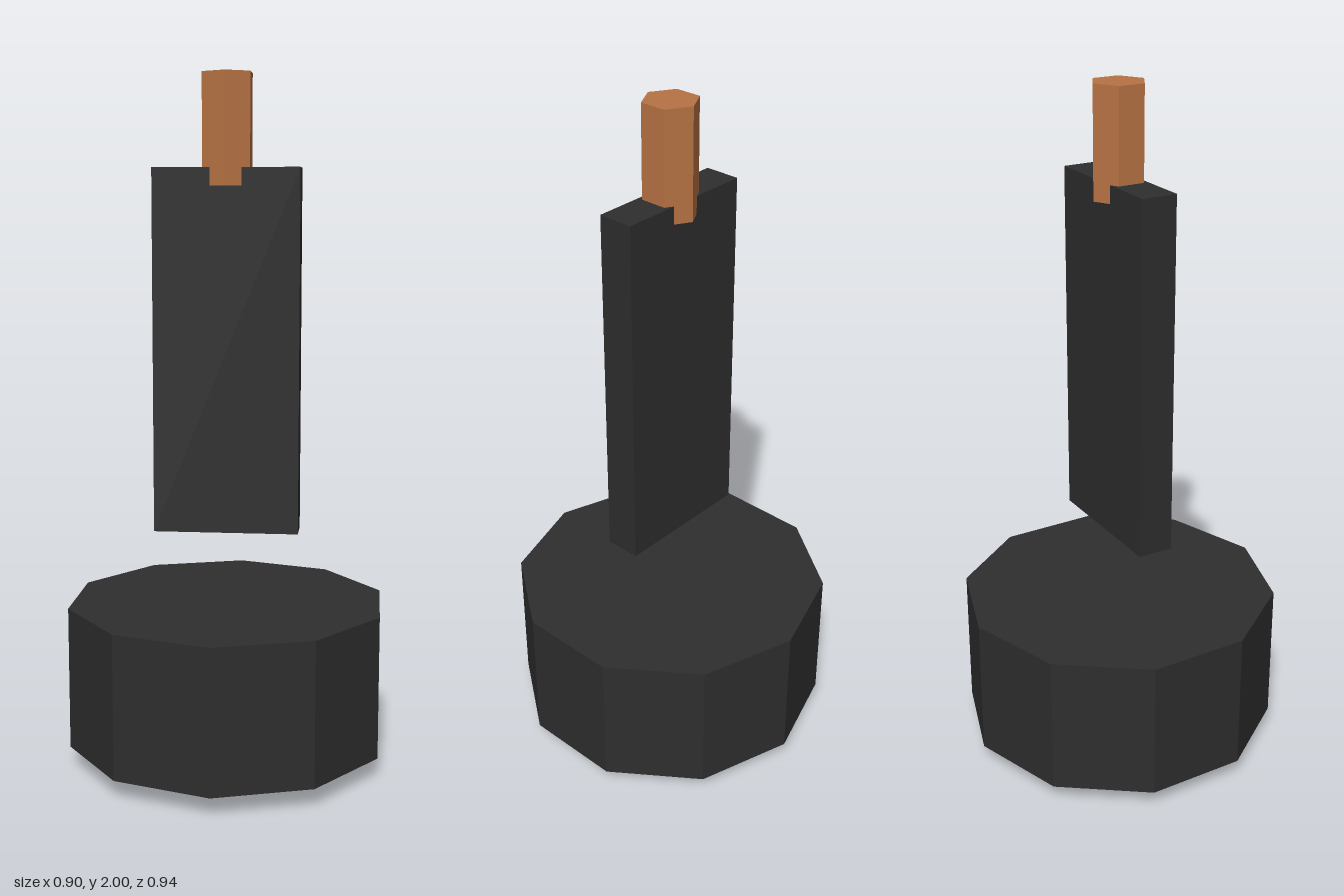
import * as THREE from 'three';

export function createModel() {
  const model = new THREE.Group();
  model.name = 'model';

  const makeMaterial = (name, color) => {
    const m = new THREE.MeshStandardMaterial({ color, flatShading: true });
    m.name = name;
    return m;
  };
  const black = makeMaterial('black', 0x2e2e2e);
  const copper = makeMaterial('copper', 0xb87344);
  const silver = makeMaterial('silver', 0xb0b4bc);

  // Adds a part that spans the heights y0 to y1
  const add = (name, geometry, material, x, y0, y1, z) => {
    const mesh = new THREE.Mesh(geometry, material);
    mesh.name = name;
    mesh.position.set(x, (y0 + y1) / 2, z);
    model.add(mesh);
  };
  const prism = (radius, y0, y1, sides) =>
    new THREE.CylinderGeometry(radius, radius, y1 - y0, sides);

  // Ten-sided base
  add('base', prism(0.472, 0.057, 0.476, 10), black, 0, 0.057, 0.476, 0);

  // Four small square feet, one on each axis
  for (let i = 0; i < 4; i++) {
    const a = (i * Math.PI) / 2;
    add('foot', prism(0.0315, 0, 0.06, 4), silver,
      0.262 * Math.sin(a), 0, 0.06, 0.262 * Math.cos(a));
  }

  // Flat upright plate floating above the base
  add('plate', new THREE.BoxGeometry(0.42, 1.047, 0.105), black, 0, 0.69, 1.737, 0);

  // Hexagonal tip set into the top of the plate
  add('tip', prism(0.0785, 1.686, 2, 6), copper, 0, 1.686, 2, 0);

  return model;
}
